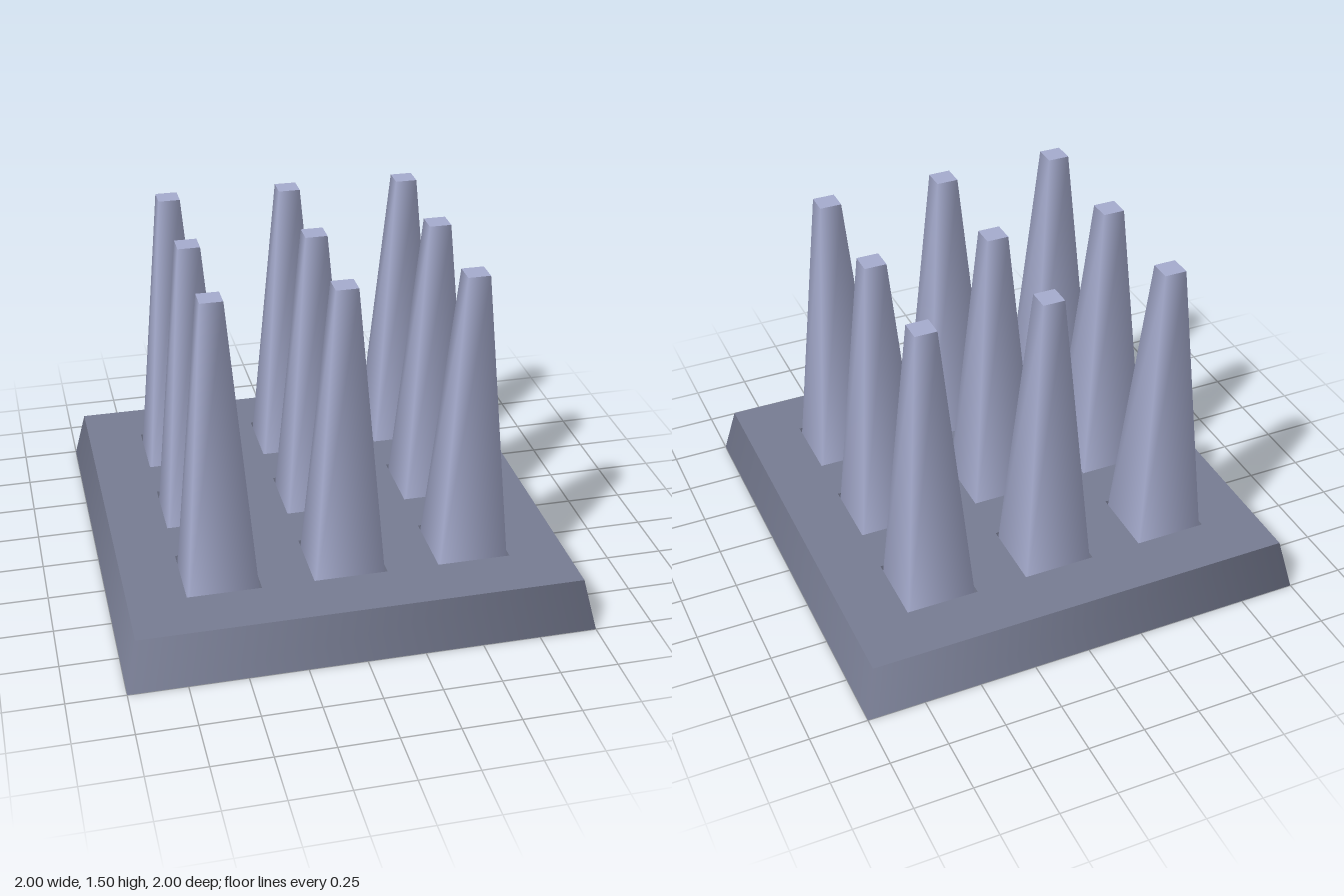
import * as THREE from 'three';

const BASE_TOP = 0.225, SPIKE_TOP = 1.505, SPIKE_BOTTOM = 0.12;
const HOLE = 0.159, SPACING = 0.543;

// Four-sided tapered prism, sized by its half widths
function squareTaper(topHalf, bottomHalf, y0, y1, open) {
  const r = Math.SQRT2;
  const g = new THREE.CylinderGeometry(topHalf * r, bottomHalf * r, y1 - y0, 4, 1, open);
  g.rotateY(Math.PI / 4);
  g.translate(0, (y0 + y1) / 2, 0);
  return g;
}

function squarePath(Type, half, cx = 0, cy = 0) {
  const p = new Type();
  p.moveTo(cx - half, cy - half);
  p.lineTo(cx + half, cy - half);
  p.lineTo(cx + half, cy + half);
  p.lineTo(cx - half, cy + half);
  p.closePath();
  return p;
}

export function createModel() {
  const model = new THREE.Group();
  const baseMat = new THREE.MeshStandardMaterial({ name: 'slate base', color: 0x777c92, side: THREE.DoubleSide });
  const spikeMat = new THREE.MeshStandardMaterial({ name: 'pale lavender metal', color: 0xa5abcd, side: THREE.DoubleSide });

  const add = (name, geometry, material, parent = model) => {
    const mesh = new THREE.Mesh(geometry, material);
    mesh.name = name;
    parent.add(mesh);
    return mesh;
  };

  const spots = [];
  for (const i of [-1, 0, 1]) for (const j of [-1, 0, 1]) spots.push([i * SPACING, j * SPACING]);

  // Pierced plate closing the base above or below
  const plate = (half, y, angle) => {
    const shape = squarePath(THREE.Shape, half);
    for (const [x, z] of spots) shape.holes.push(squarePath(THREE.Path, HOLE, x, z));
    const g = new THREE.ShapeGeometry(shape);
    g.rotateX(angle);
    g.translate(0, y, 0);
    return g;
  };

  // Base: sloping rim and two pierced plates
  const base = new THREE.Group();
  base.name = 'base';
  model.add(base);
  add('baseRim', squareTaper(0.95, 1, 0, BASE_TOP, true), baseMat, base);
  add('baseTop', plate(0.95, BASE_TOP, -Math.PI / 2), baseMat, base);
  add('baseUnderside', plate(1, 0, Math.PI / 2), baseMat, base);

  // Flat socket walls and hollow spikes, open underneath
  const socket = squareTaper(HOLE, HOLE, 0, BASE_TOP, true).toNonIndexed();
  socket.computeVertexNormals();
  const topHalf = 0.0475;
  const slope = (0.149 - topHalf) / (SPIKE_TOP - BASE_TOP);
  const bottomHalf = topHalf + slope * (SPIKE_TOP - SPIKE_BOTTOM);
  const spikeSides = squareTaper(topHalf, bottomHalf, SPIKE_BOTTOM, SPIKE_TOP, true);
  const spikeCap = new THREE.PlaneGeometry(topHalf * 2, topHalf * 2);
  spikeCap.rotateX(-Math.PI / 2);
  spikeCap.translate(0, SPIKE_TOP, 0);

  for (const [x, z] of spots) {
    add('socket', socket, baseMat, base).position.set(x, 0, z);
    const spike = new THREE.Group();
    spike.name = 'spike';
    spike.position.set(x, 0, z);
    add('spikeSides', spikeSides, spikeMat, spike);
    add('spikeCap', spikeCap, spikeMat, spike);
    model.add(spike);
  }
  return model;
}
